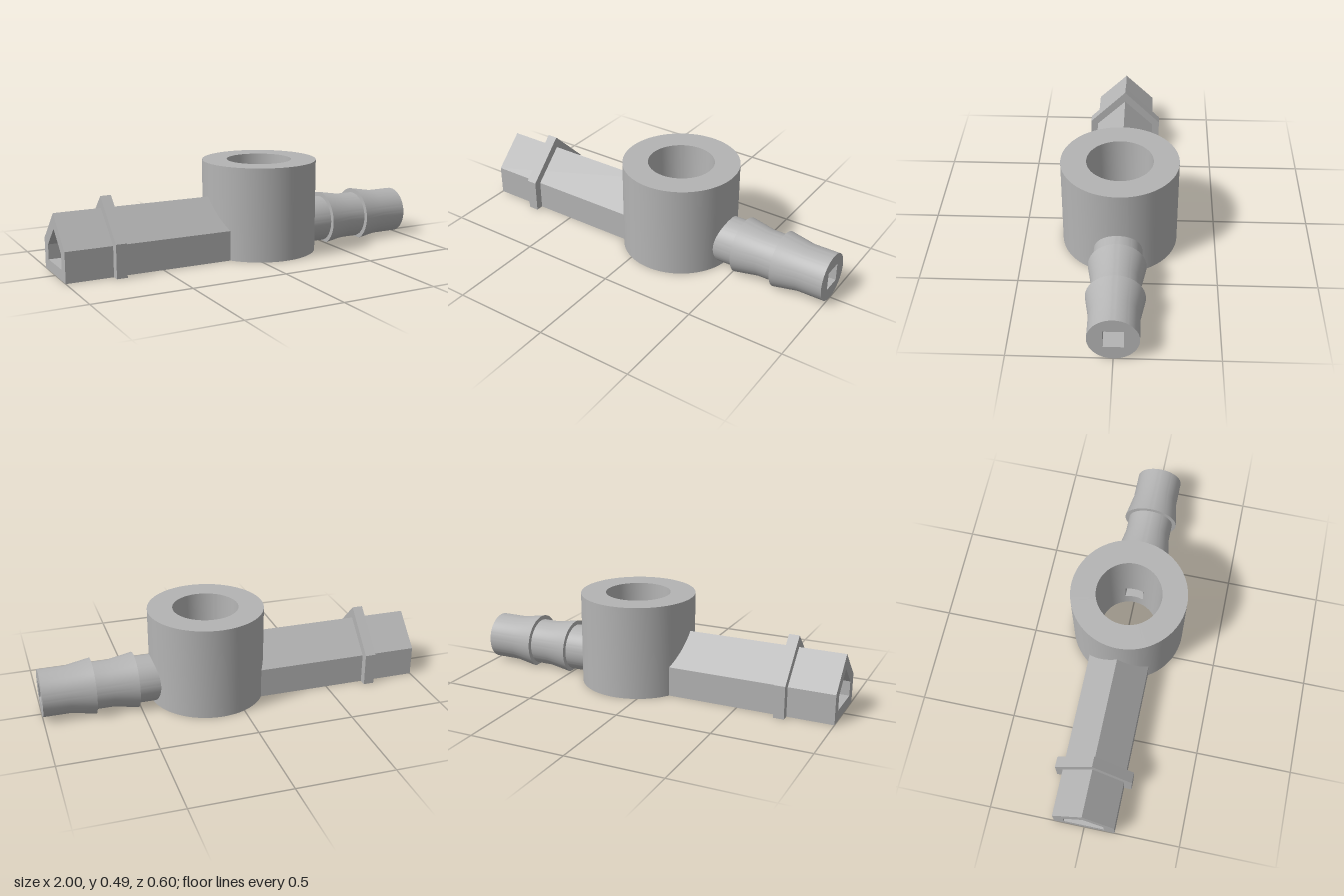
import * as THREE from 'three';
import { toCreasedNormals } from 'three/addons/utils/BufferGeometryUtils.js';

const CX = 0.125, H = 0.485, R = 0.3;            // ring centre, height, outer radius
const boreAt = y => 0.153 + 0.017 * y / H;       // bore widens towards the top
const BARB_Y = 0.1225;

// Channel profiles: [z, y], running round the inside
const armBore = [[0.105, 0.055], [-0.105, 0.055], [-0.105, 0.131], [0, 0.232], [0.105, 0.131]];
const barbBore = [[0.049, 0.075], [-0.049, 0.075], [-0.049, 0.173], [0.049, 0.173]];

const toShape = pts => new THREE.Shape(pts.map(([z, y]) => new THREE.Vector2(z, y)));
const house = (w, eave, apex) => [[-w, 0], [w, 0], [w, eave], [0, apex], [-w, eave]];

function fromQuads(quads, crease) {
  const pos = [];
  for (const [a, b, c, d] of quads) pos.push(...a, ...b, ...c, ...a, ...c, ...d);
  const g = new THREE.BufferGeometry();
  g.setAttribute('position', new THREE.Float32BufferAttribute(pos, 3));
  g.computeVertexNormals();
  return crease ? toCreasedNormals(g, crease) : g;
}

// Round wall with the two channel openings left out
function ringWall(radiusAt, inward) {
  const r = radiusAt(0.12);
  const a1 = Math.asin(0.049 / r), a2 = Math.asin(0.105 / r);
  const angles = [-a1, a1, Math.PI - a2, Math.PI + a2];
  for (let i = 0; i <= 96; i++) angles.push(-Math.PI / 2 + i / 96 * Math.PI * 2);
  angles.sort((p, q) => p - q);
  const point = (a, y) => [CX + radiusAt(y) * Math.cos(a), y, radiusAt(y) * Math.sin(a)];
  const quads = [];
  const add = (a, b, ya, yb, yc, yd) => {
    const q = [point(a, ya), point(a, yb), point(b, yc), point(b, yd)];
    quads.push(inward ? q.reverse() : q);
  };
  for (let i = 0; i < angles.length - 1; i++) {
    const a = angles[i], b = angles[i + 1], mid = (a + b) / 2;
    if (b - a < 1e-6) continue;
    const atBarb = Math.abs(mid) < a1, atArm = Math.abs(mid - Math.PI) < a2;
    if (!atBarb && !atArm) { add(a, b, 0, H, H, 0); continue; }
    const lo = atBarb ? 0.075 : 0.055;
    const hi = t => atBarb ? 0.173 : 0.232 - Math.abs(r * Math.sin(t)) * 0.101 / 0.105;
    add(a, b, 0, lo, lo, 0);
    add(a, b, hi(a), H, H, hi(b));
  }
  return fromQuads(quads, 0.5);
}

// Channel lining, trimmed to the round bore at one end
function lining(profile, side, xOuter) {
  const quads = [];
  const ends = (z, y) => {
    const inner = CX + side * Math.sqrt(boreAt(y) ** 2 - z * z);
    const [l, r] = side > 0 ? [inner, xOuter] : [xOuter, inner];
    return [[l, y, z], [r, y, z]];
  };
  profile.forEach(([z0, y0], i) => {
    const [z1, y1] = profile[(i + 1) % profile.length];
    const at = t => ends(z0 + (z1 - z0) * t, y0 + (y1 - y0) * t);
    for (let k = 0; k < 6; k++) {
      const [aL, aR] = at(k / 6), [bL, bR] = at((k + 1) / 6);
      quads.push([aL, aR, bR, bL]);
    }
  });
  return fromQuads(quads);
}

function alongX(shape, x0, x1) {
  return new THREE.ExtrudeGeometry(shape, { depth: x1 - x0, bevelEnabled: false })
    .rotateY(Math.PI / 2).translate(x0, 0, 0);
}

export function createModel() {
  const grey = new THREE.MeshStandardMaterial({ color: 0xb4b4b4, side: THREE.DoubleSide });
  grey.name = 'grey plastic';
  const model = new THREE.Group();
  model.name = 'hoseFitting';
  const add = (name, geometry) => {
    const mesh = new THREE.Mesh(geometry, grey);
    mesh.name = name;
    model.add(mesh);
  };

  // Central ring
  add('ringOuterWall', ringWall(() => R, false));
  add('ringBore', ringWall(boreAt, true));
  add('ringTop', new THREE.RingGeometry(boreAt(H), R, 96).rotateX(-Math.PI / 2).translate(CX, H, 0));
  add('ringBottom', new THREE.RingGeometry(boreAt(0), R, 96).rotateX(Math.PI / 2).translate(CX, 0, 0));

  // Hollow arm with a pitched top, and its collar
  const armShape = toShape(house(0.16, 0.155, 0.31));
  armShape.holes.push(toShape(armBore));
  add('arm', alongX(armShape, -1, -0.1));
  add('armChannel', lining(armBore, -1, -0.1));
  const collarShape = toShape(house(0.2, 0.17, 0.37));
  collarShape.holes.push(toShape(house(0.155, 0.15, 0.3).map(([z, y]) => [z, y + 0.003])));
  add('collar', alongX(collarShape, -0.76, -0.705));

  // Barbed hose end, cut flat where it meets the ground plane
  const profile = [
    [0.1225, 0.36], [0.1225, 0.51], [0.145, 0.511], [0.1225, 0.64],
    [0.1225, 0.73], [0.145, 0.731], [0.1225, 0.86], [0.1225, 1],
  ].map(([r, x]) => new THREE.Vector2(r, x));
  const barb = new THREE.LatheGeometry(profile, 96).rotateZ(-Math.PI / 2).translate(0, BARB_Y, 0);
  const p = barb.attributes.position;
  for (let i = 0; i < p.count; i++) p.setY(i, Math.max(0, p.getY(i)));
  add('barb', toCreasedNormals(barb, 0.4));

  // Barb end face with the square channel
  const face = new THREE.Shape().absarc(0, BARB_Y, 0.1225, 0, Math.PI * 2);
  face.holes.push(toShape(barbBore));
  add('barbEnd', new THREE.ShapeGeometry(face, 48).rotateY(Math.PI / 2).translate(1, 0, 0));
  add('barbChannel', lining(barbBore, 1, 1));
  return model;
}
